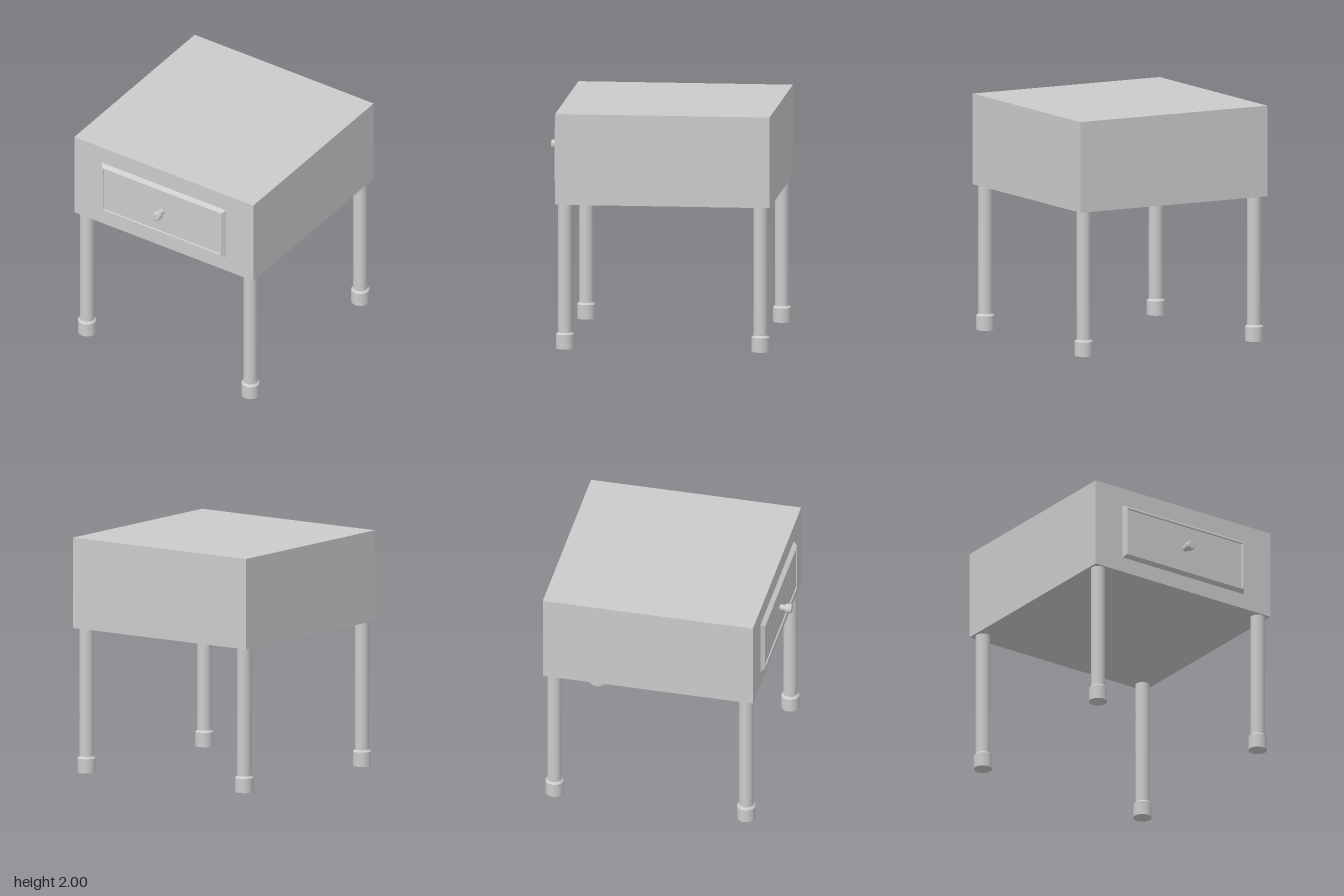
import * as THREE from 'three';
import { toCreasedNormals } from 'three/addons/utils/BufferGeometryUtils.js';

const material = new THREE.MeshStandardMaterial({ color: 0xcccccc });

function addMesh(parent, name, geometry, x, y, z) {
  const mesh = new THREE.Mesh(geometry, material);
  mesh.name = name;
  mesh.position.set(x, y, z);
  parent.add(mesh);
  return mesh;
}

// Turned part from [radius, height] pairs, with crisp edges
function turned(points, segments = 32) {
  const profile = points.map(([r, y]) => new THREE.Vector2(r, y));
  return toCreasedNormals(new THREE.LatheGeometry(profile, segments), Math.PI / 7);
}

// Rectangular rings [halfWidth, halfHeight, z] joined into flat walls, last ring capped
function steppedPanel(rings) {
  const corners = rings.map(([w, h, z]) => [[-w, -h, z], [w, -h, z], [w, h, z], [-w, h, z]]);
  const positions = [];
  const quad = (a, b, c, d) => positions.push(...a, ...b, ...c, ...a, ...c, ...d);
  for (let i = 0; i < corners.length - 1; i++) {
    for (let k = 0; k < 4; k++) {
      const n = (k + 1) % 4;
      quad(corners[i][k], corners[i][n], corners[i + 1][n], corners[i + 1][k]);
    }
  }
  quad(...corners[corners.length - 1]);
  const geometry = new THREE.BufferGeometry();
  geometry.setAttribute('position', new THREE.Float32BufferAttribute(positions, 3));
  geometry.computeVertexNormals();
  return geometry;
}

export function createModel() {
  const table = new THREE.Group();
  table.name = 'nightstand';

  // Cabinet box
  addMesh(table, 'cabinet', new THREE.BoxGeometry(1.81, 0.77, 1.81), 0, 1.615, -0.065);

  // Drawer front: bevelled border, narrow rim, shallow recessed field
  const drawer = new THREE.Group();
  drawer.name = 'drawer';
  drawer.position.set(0, 1.604, 0.84);
  table.add(drawer);
  addMesh(drawer, 'drawerFront', steppedPanel([
    [0.627, 0.241, 0], [0.603, 0.217, 0.036], [0.592, 0.206, 0.036], [0.588, 0.202, 0.026],
  ]), 0, 0, 0);

  // Knob: slim stem and rounded head
  const knob = addMesh(drawer, 'knob', turned([
    [0.025, 0], [0.025, 0.046], [0.033, 0.046], [0.037, 0.049], [0.039, 0.056],
    [0.039, 0.092], [0.037, 0.099], [0.032, 0.103], [0, 0.104],
  ]), 0, 0, 0.026);
  knob.rotation.x = Math.PI / 2;

  // Four legs with wider, chamfered feet
  const legGeometry = new THREE.CylinderGeometry(0.06, 0.06, 1.1, 32, 1, true);
  const footGeometry = turned([[0, 0], [0.077, 0], [0.077, 0.122], [0.06, 0.139]]);
  for (const [end, z] of [['front', 0.765], ['back', -0.887]]) {
    for (const [side, x] of [['Left', 0.826], ['Right', -0.826]]) {
      addMesh(table, `${end}${side}Leg`, legGeometry, x, 0.685, z);
      addMesh(table, `${end}${side}Foot`, footGeometry, x, 0, z);
    }
  }
  return table;
}
